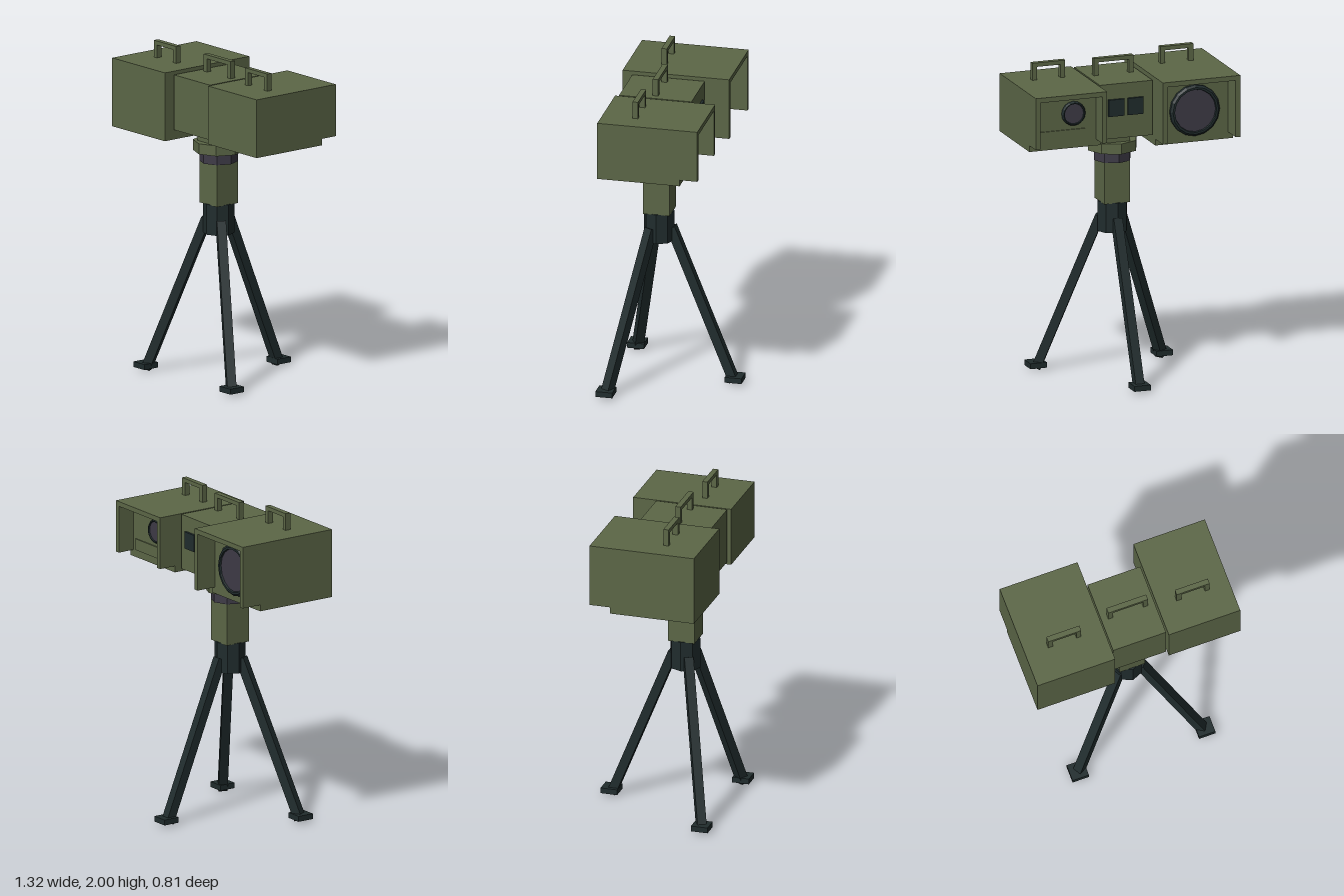
import * as THREE from 'three';

const mat = (name, color) => {
  const m = new THREE.MeshStandardMaterial({ color });
  m.name = name;
  return m;
};

export function createModel() {
  const green = mat('olive green', 0x5c6747);
  const dark = mat('dark metal', 0x202c2d);
  const glass = mat('grey glass', 0x3e3b47);
  const model = new THREE.Group();
  model.name = 'tripodOptics';

  const add = (name, geometry, material, parent = model) => {
    const mesh = new THREE.Mesh(geometry, material);
    mesh.name = name;
    parent.add(mesh);
    return mesh;
  };
  // Box given by its limits on each axis
  const box = (name, [x0, x1], [y0, y1], [z0, z1], material, parent) => {
    const g = new THREE.BoxGeometry(x1 - x0, y1 - y0, z1 - z0);
    g.translate((x0 + x1) / 2, (y0 + y1) / 2, (z0 + z1) / 2);
    return add(name, g, material, parent);
  };
  const group = (name) => {
    const g = new THREE.Group();
    g.name = name;
    model.add(g);
    return g;
  };

  // Carrying handle: two posts and a bar
  const handle = (parent, [x0, x1], base, top, [z0, z1]) => {
    const h = new THREE.Group();
    h.name = 'handle';
    parent.add(h);
    box('handlePost', [x0, x0 + 0.03], [base, top - 0.025], [z0, z1], green, h);
    box('handlePost', [x1 - 0.03, x1], [base, top - 0.025], [z0, z1], green, h);
    box('handleBar', [x0, x1], [top - 0.025, top], [z0, z1], green, h);
  };

  // Stepped lens ring with a glass disc, looking towards -z
  const lens = (parent, x, y, z, r, depth) => {
    const g = new THREE.Group();
    g.name = 'lens';
    g.position.set(x, y, z);
    g.rotation.x = -Math.PI / 2;
    parent.add(g);
    const profile = [[r, 0], [r, depth * 0.6], [r * 0.92, depth], [r * 0.84, depth], [r * 0.82, depth * 0.6]];
    const ringGeo = new THREE.LatheGeometry(profile.map(p => new THREE.Vector2(...p)), 16).toNonIndexed();
    ringGeo.computeVertexNormals();
    const ringMat = dark;
    add('lensRing', ringGeo, ringMat, g);
    const disc = new THREE.CircleGeometry(r * 0.83, 16);
    disc.rotateX(-Math.PI / 2);
    disc.translate(0, depth * 0.62, 0);
    add('lensGlass', disc, glass, g);
  };

  // Housing whose rear is an overhanging hood, open below
  const hooded = (name, [x0, x1], [y0, y1], zFront, zBody, zBack) => {
    const g = group(name);
    const t = 0.03;
    box('housingBody', [x0, x1], [y0, y1], [zBody, zFront], green, g);
    box('hoodRoof', [x0, x1], [y1 - t, y1], [zBack, zBody], green, g);
    box('hoodWall', [x0, x0 + t], [y0 + 0.04, y1 - t], [zBack, zBody], green, g);
    box('hoodWall', [x1 - t, x1], [y0 + 0.04, y1 - t], [zBack, zBody], green, g);
    return g;
  };

  // Large right housing
  const right = hooded('rightHousing', [-0.66, -0.16], [1.47, 1.895], 0.393, -0.14, -0.27);
  handle(right, [-0.515, -0.303], 1.895, 2.0, [0.152, 0.186]);
  lens(right, -0.41, 1.67, -0.14, 0.16, 0.03);

  // Smaller left housing
  const left = hooded('leftHousing', [0.2, 0.66], [1.513, 1.875], 0.352, -0.16, -0.27);
  handle(left, [0.32, 0.532], 1.875, 1.982, [0.13, 0.163]);
  lens(left, 0.378, 1.73, -0.16, 0.075, 0.025);
  box('accessPlate', [0.295, 0.6], [1.56, 1.63], [-0.168, -0.16], green, left);

  // Central housing with two rear windows
  const centre = group('centreHousing');
  box('housingBody', [-0.15, 0.19], [1.533, 1.875], [-0.12, 0.33], green, centre);
  handle(centre, [-0.108, 0.147], 1.875, 1.982, [0.097, 0.131]);
  for (const x of [-0.087, 0.037]) {
    box('rearWindow', [x, x + 0.1], [1.675, 1.78], [-0.135, -0.12], dark, centre);
  }

  // Mount and tripod share one vertical axis
  const tripod = group('tripod');
  tripod.position.set(0.02, 0, 0.12);
  const drum = (name, r, y0, y1, material) => {
    const g = new THREE.CylinderGeometry(r, r, y1 - y0, 8).toNonIndexed();
    g.computeVertexNormals();
    g.translate(0, (y0 + y1) / 2, 0);
    add(name, g, material, tripod);
  };
  box('neck', [-0.073, 0.073], [1.465, 1.54], [-0.107, 0.107], green, tripod);
  drum('collar', 0.156, 1.405, 1.47, green);
  drum('swivelRing', 0.117, 1.34, 1.405, glass);
  box('column', [-0.083, 0.083], [1.08, 1.34], [-0.083, 0.083], green, tripod);
  drum('hub', 0.095, 0.895, 1.083, dark);

  // Three splayed legs with square feet
  const rFoot = 0.47;
  for (let i = 0; i < 3; i++) {
    const a = Math.PI + (i * 2 * Math.PI) / 3;
    const dir = new THREE.Vector3(Math.sin(a), 0, Math.cos(a));
    const rTop = 0.075, rEnd = 0.465, yTop = 0.98, yEnd = 0.012;
    const pivot = new THREE.Group();
    pivot.name = 'legAssembly';
    pivot.rotation.y = a;
    tripod.add(pivot);
    const leg = add('leg', new THREE.BoxGeometry(0.056, Math.hypot(rEnd - rTop, yTop - yEnd), 0.056), dark, pivot);
    leg.position.set(0, (yTop + yEnd) / 2, (rTop + rEnd) / 2);
    leg.rotation.x = -Math.atan2(rEnd - rTop, yTop - yEnd);
    const foot = add('foot', new THREE.BoxGeometry(0.105, 0.034, 0.105), dark, tripod);
    foot.position.copy(dir).multiplyScalar(rFoot).setY(0.033);
  }
  return model;
}
